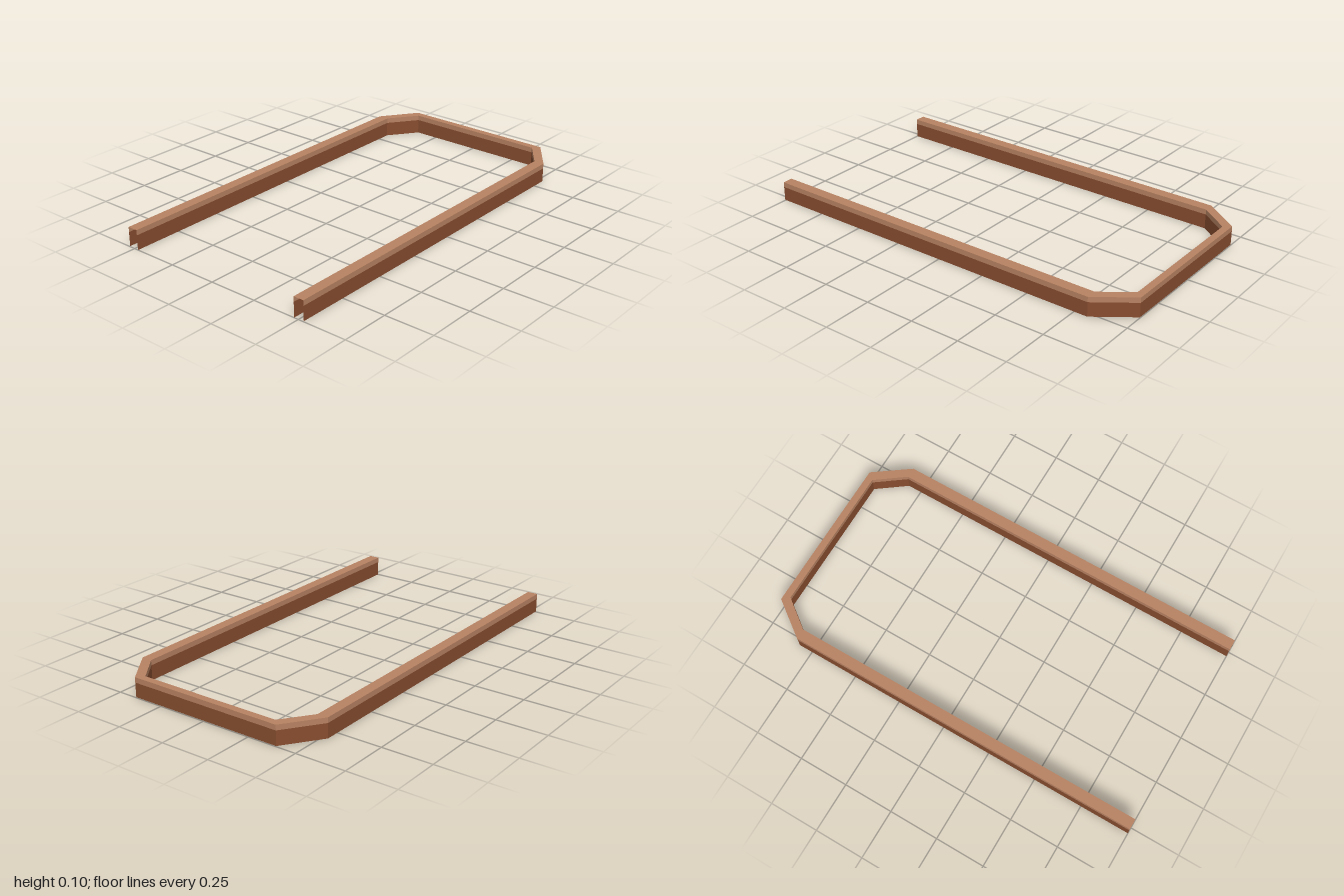
import * as THREE from 'three';

export function createModel() {
  const model = new THREE.Group();
  model.name = 'borderRail';

  const lightWood = new THREE.MeshStandardMaterial({ color: 0xb88262, side: THREE.DoubleSide });
  lightWood.name = 'lightWood';
  const darkWood = new THREE.MeshStandardMaterial({ color: 0x874d2f, side: THREE.DoubleSide });
  darkWood.name = 'darkWood';

  // Plan outlines [x, z] of the open-ended rail, mirrored front to back
  const mirrored = (half) => [...half, ...half.map(([x, z]) => [x, -z]).reverse()];
  const outer = mirrored([[-1, 0.53], [0.82, 0.53], [1, 0.4]]);
  const inner = mirrored([[-1, 0.477], [0.82, 0.477], [0.965, 0.37]]);

  const top = 0.1;
  const trim = 0.074;

  // Flat-faced strip between two paths of equal length, each at its own height
  function addStrip(name, pathA, yA, pathB, yB, material) {
    const positions = [];
    for (let i = 0; i < pathA.length - 1; i++) {
      const a = [pathA[i][0], yA, pathA[i][1]];
      const b = [pathA[i + 1][0], yA, pathA[i + 1][1]];
      const c = [pathB[i + 1][0], yB, pathB[i + 1][1]];
      const d = [pathB[i][0], yB, pathB[i][1]];
      positions.push(...a, ...b, ...c, ...a, ...c, ...d);
    }
    const geometry = new THREE.BufferGeometry();
    geometry.setAttribute('position', new THREE.Float32BufferAttribute(positions, 3));
    geometry.computeVertexNormals();
    const mesh = new THREE.Mesh(geometry, material);
    mesh.name = name;
    model.add(mesh);
  }

  // Top board, then the outer and inner walls of the channel, open underneath
  addStrip('topBoard', outer, top, inner, top, lightWood);
  addStrip('outerTrim', outer, trim, outer, top, lightWood);
  addStrip('outerWall', outer, 0.003, outer, trim, darkWood);
  addStrip('innerTrim', inner, top, inner, trim, lightWood);
  addStrip('innerWall', inner, trim, inner, 0, darkWood);

  return model;
}
